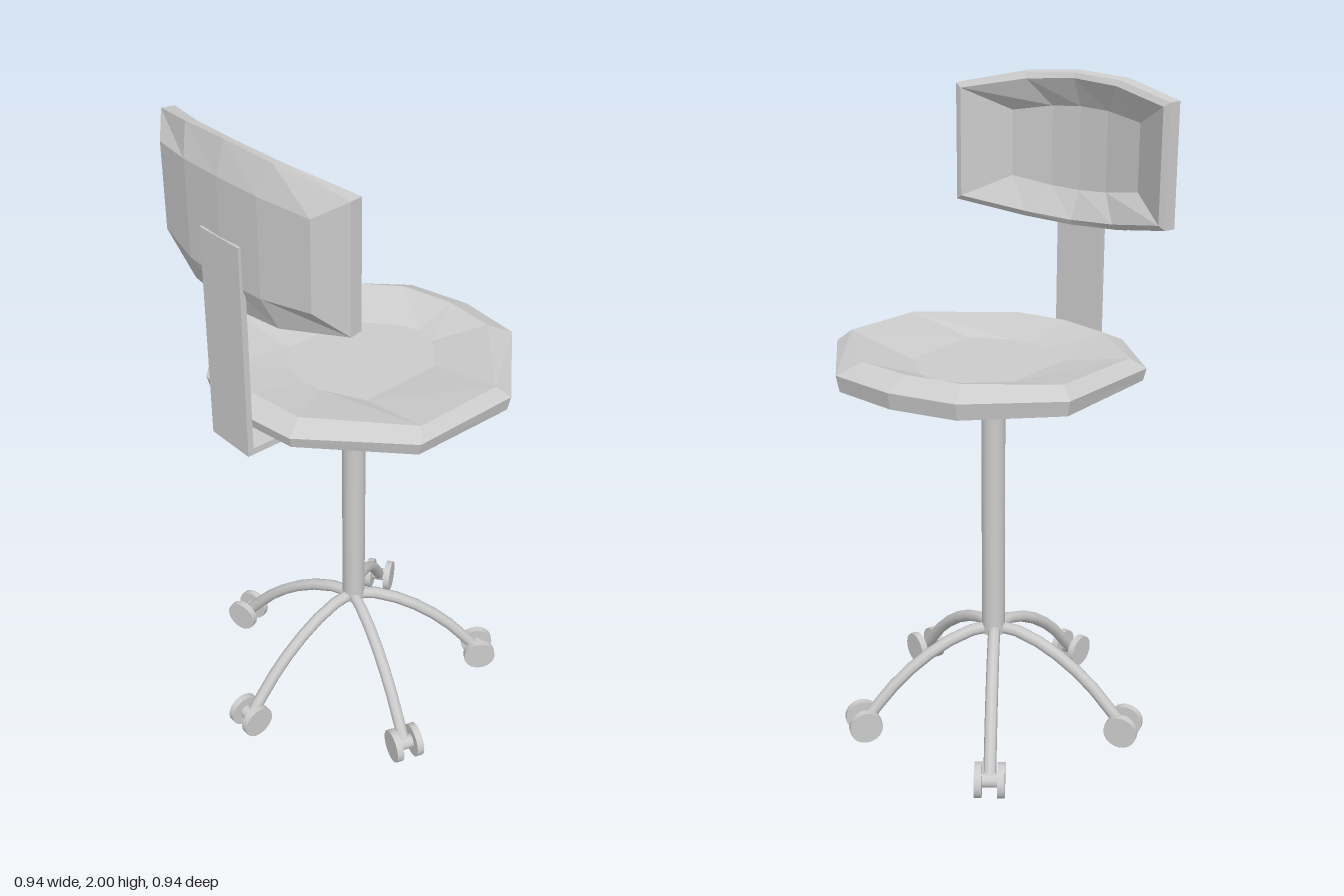
import * as THREE from 'three';

const grey = new THREE.MeshStandardMaterial({ color: 0xcccccc });
const facetedGrey = new THREE.MeshStandardMaterial({ color: 0xcccccc, flatShading: true });

function add(parent, name, geometry, x = 0, y = 0, z = 0, material = grey) {
  const mesh = new THREE.Mesh(geometry, material);
  mesh.name = name;
  mesh.position.set(x, y, z);
  parent.add(mesh);
  return mesh;
}

// Skins a stack of ten-point rings and closes both ends with strips of columns
function loftCushion(rings) {
  const n = 10, index = [];
  for (let r = 0; r < rings.length - 1; r++) {
    for (let i = 0; i < n; i++) {
      const j = (i + 1) % n, a = r * n, b = a + n;
      index.push(a + i, b + i, b + j, a + i, b + j, a + j);
    }
  }
  const columns = [[0, 1], [9, 2], [8, 3], [7, 4], [6, 5]];
  const last = (rings.length - 1) * n;
  for (let c = 0; c < 4; c++) {
    const [p0, q0] = columns[c], [p1, q1] = columns[c + 1];
    index.push(last + p0, last + p1, last + q1, last + p0, last + q1, last + q0);
    index.push(p0, q1, p1, p0, q0, q1);
  }
  const g = new THREE.BufferGeometry();
  g.setAttribute('position', new THREE.Float32BufferAttribute(rings.flat(2), 3));
  g.setIndex(index);
  const flat = g.toNonIndexed();
  flat.computeVertexNormals();
  return flat;
}

// Seat: uneven ten-sided pad with a bevelled rim and a dished middle
function seatGeometry() {
  const outer = [[-0.415, 0.17], [-0.415, -0.21], [-0.2, -0.42], [0, -0.465], [0.21, -0.445],
    [0.452, -0.19], [0.452, 0.15], [0.2, 0.39], [0, 0.42], [-0.2, 0.375]];
  const rim = [[-0.375, 0.14], [-0.375, -0.18], [-0.165, -0.355], [0, -0.39], [0.17, -0.378],
    [0.42, -0.16], [0.42, 0.12], [0.17, 0.335], [0, 0.355], [-0.17, 0.315]];
  const dish = [[-0.175, 0.095], [-0.175, -0.14], [-0.07, -0.235], [0, -0.265], [0.07, -0.25],
    [0.18, -0.16], [0.19, 0.11], [0.07, 0.17], [0, 0.185], [-0.07, 0.165]];
  const ring = (points, y, scale = 1, tilt = 0) =>
    points.map(([x, z]) => [x * scale, y - tilt * z, z * scale]);
  return loftCushion([
    ring(outer, 1.155, 0.8), ring(outer, 1.185, 0.98), ring(outer, 1.225, 1, 0.02),
    ring(rim, 1.256, 1, 0.025), ring(dish, 1.215),
  ]);
}

// Backrest: curved shell, concave toward the seat
function backrestGeometry() {
  // xs, half heights and depths run from the side edge to the centre
  const ring = ([xo, xm], [ho, hm, hc], [zo, zm, zc]) => {
    const y = 1.768;
    return [
      [-xo, y - ho, zo], [-xo, y + ho, zo], [-xm, y + hm, zm], [0, y + hc, zc], [xm, y + hm, zm],
      [xo, y + ho, zo], [xo, y - ho, zo], [xm, y - hm, zm], [0, y - hc, zc], [-xm, y - hm, zm],
    ];
  };
  return loftCushion([
    ring([0.23, 0.1], [0.1, 0.12, 0.125], [0.385, 0.413, 0.418]),
    ring([0.36, 0.16], [0.165, 0.2, 0.21], [0.292, 0.36, 0.378]),
    ring([0.38, 0.17], [0.178, 0.216, 0.226], [0.296, 0.368, 0.385]),
    ring([0.387, 0.18], [0.179, 0.221, 0.232], [0.335, 0.398, 0.41]),
    ring([0.31, 0.15], [0.125, 0.138, 0.142], [0.395, 0.43, 0.438]),
  ]);
}

// Leg: bent tube out to a pair of wheels on an axle
function makeLeg() {
  const leg = new THREE.Group();
  leg.name = 'leg';
  const path = new THREE.CatmullRomCurve3([[0.335, 0], [0.335, 0.05], [0.295, 0.165], [0.2, 0.3], [0.06, 0.425]]
    .map(([y, z]) => new THREE.Vector3(0, y, z)));
  add(leg, 'legTube', new THREE.TubeGeometry(path, 7, 0.019, 8));
  add(leg, 'axle', new THREE.CylinderGeometry(0.022, 0.022, 0.06, 12), 0, 0.06, 0.428).rotation.z = Math.PI / 2;
  for (const side of [-1, 1]) {
    add(leg, 'wheel', new THREE.CylinderGeometry(0.052, 0.052, 0.022, 20), side * 0.034, 0.06, 0.428).rotation.z = Math.PI / 2;
  }
  return leg;
}

export function createModel() {
  const chair = new THREE.Group();
  chair.name = 'swivelChair';

  add(chair, 'seat', seatGeometry(), 0, 0, 0, facetedGrey);
  add(chair, 'backrest', backrestGeometry(), 0, 0, 0, facetedGrey);

  // Bent strap joining the column to the backrest
  const strap = new THREE.Group();
  strap.name = 'backSupport';
  add(strap, 'strapUpright', new THREE.BoxGeometry(0.164, 0.63, 0.018), 0, 1.433, 0.433);
  add(strap, 'strapArm', new THREE.BoxGeometry(0.164, 0.02, 0.42), 0, 1.128, 0.214);
  chair.add(strap);

  // Central column
  add(chair, 'column', new THREE.CylinderGeometry(0.036, 0.036, 0.85, 16), 0, 0.735, -0.006);

  // Five-legged base
  const base = new THREE.Group();
  base.name = 'base';
  for (let i = 0; i < 5; i++) {
    const leg = makeLeg();
    leg.rotation.y = (i * Math.PI * 2) / 5;
    base.add(leg);
  }
  chair.add(base);
  base.position.y = -0.008;
  return chair;
}
